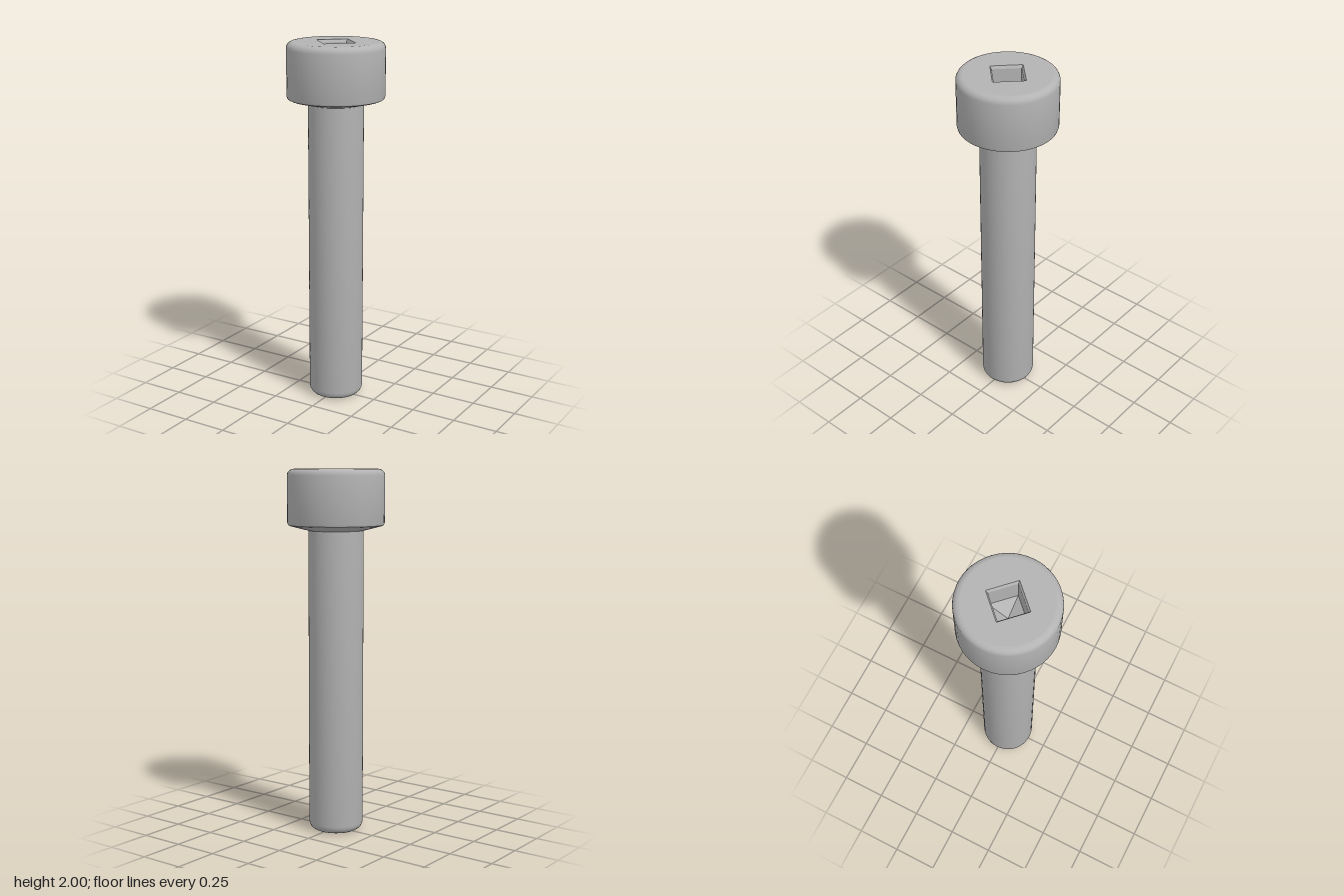
import * as THREE from 'three';
import { toCreasedNormals } from 'three/addons/utils/BufferGeometryUtils.js';

const SEGMENTS = 48;

// Revolve a profile of [radius, height] pairs, keeping sharp edges crisp
function revolve(profile, segments, crease) {
  const points = profile.map(([r, y]) => new THREE.Vector2(r, y));
  return toCreasedNormals(new THREE.LatheGeometry(points, segments), crease);
}

// Points of a quarter-round edge, from angle a to angle b
function roundEdge(cx, cy, rx, ry, a, b, steps = 5) {
  return Array.from({ length: steps + 1 }, (_, i) => {
    const t = a + ((b - a) * i) / steps;
    return [cx + rx * Math.cos(t), cy + ry * Math.sin(t)];
  });
}

export function createModel() {
  const group = new THREE.Group();
  const steel = new THREE.MeshStandardMaterial({ color: 0xb3b3b3 });
  steel.name = 'steel grey';

  const add = (name, geometry) => {
    const mesh = new THREE.Mesh(geometry, steel);
    mesh.name = name;
    group.add(mesh);
  };

  // Plain shank with a rounded tip
  add('shank', revolve([
    [0, 0],
    ...roundEdge(0.105, 0.045, 0.045, 0.045, -Math.PI / 2, 0),
    [0.15, 1.67],
  ], SEGMENTS, 0.6));

  // Cap: sloped underside, straight wall and rounded upper rim
  add('headWall', revolve([
    [0.15, 1.67],
    [0.25, 1.695],
    [0.26, 1.7],
    [0.264, 1.712],
    ...roundEdge(0.229, 1.965, 0.035, 0.035, 0, Math.PI / 2),
  ], SEGMENTS, 0.6));

  // Flat top face pierced by the square socket
  const top = new THREE.Shape().absarc(0, 0, 0.229, 0, Math.PI * 2, false);
  const mouth = 0.12;
  top.holes.push(new THREE.Path([
    [mouth, 0], [0, -mouth], [-mouth, 0], [0, mouth],
  ].map(([x, y]) => new THREE.Vector2(x, y))));
  add('headTop', new THREE.ShapeGeometry(top, SEGMENTS)
    .rotateX(-Math.PI / 2).translate(0, 2, 0));

  // Square socket: bevelled mouth, straight walls and a pyramid floor
  add('socket', revolve([
    [mouth, 2], [0.108, 1.985], [0.108, 1.85], [0, 1.79],
  ], 4, 0.3));

  return group;
}
